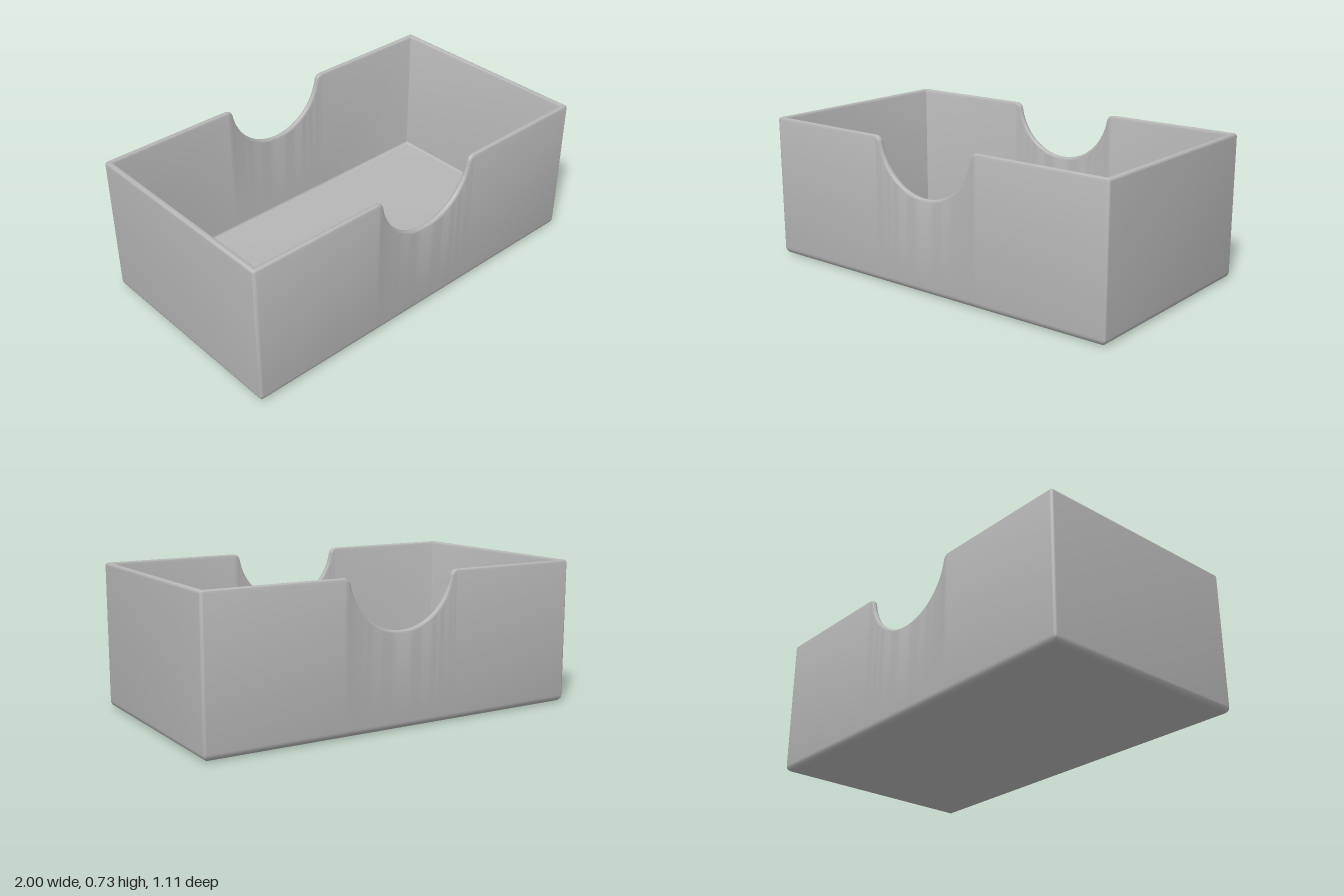
import * as THREE from 'three';
import { toCreasedNormals } from 'three/addons/utils/BufferGeometryUtils.js';

// Overall size and thicknesses
const W = 1, D = 0.555, H = 0.725;          // half width, half depth, height
const WALL = 0.03, FLOOR = 0.03;
const CORNER = 0.014, BASE = 0.035, RIM = 0.014, INNER = 0.012; // rounding radii
// Finger notch: a circular scoop with rounded shoulders
const NOTCH_Y = 0.745, NOTCH_R = 0.28, SHOULDER = 0.035;

// Rim line across the notch, from -x to +x: position and direction out of the material
function notchLine() {
  const fy = H - SHOULDER;
  const fx = Math.sqrt((NOTCH_R + SHOULDER) ** 2 - (NOTCH_Y - fy) ** 2);
  const dip = Math.atan2(NOTCH_Y - fy, fx);
  const half = [];
  for (let i = 0; i <= 8; i++) {            // shoulder
    const a = Math.PI / 2 - (Math.PI / 2 - dip) * i / 8;
    const nx = Math.cos(a), ny = Math.sin(a);
    half.push({ x: -fx + SHOULDER * nx, y: fy + SHOULDER * ny, nx, ny });
  }
  for (let i = 1; i <= 20; i++) {           // scoop
    const a = dip + (Math.PI / 2 - dip) * i / 20;
    const nx = Math.cos(a), ny = Math.sin(a);
    half.push({ x: -NOTCH_R * nx, y: NOTCH_Y - NOTCH_R * ny, nx, ny });
  }
  const mirrored = half.slice(0, -1).reverse().map(p => ({ ...p, x: -p.x, nx: -p.nx }));
  return [...half, ...mirrored];
}

// Stations around the box, counter-clockwise from above
function stations() {
  const list = [];
  const corner = (sx, sz, start) => {
    for (let i = 0; i <= 4; i++) {
      const a = start + (Math.PI / 2) * i / 4;
      list.push({ sx, sz, ox: Math.cos(a), oz: -Math.sin(a) });
    }
  };
  const notch = side => notchLine().forEach(p =>
    list.push({ notch: true, side, x: p.x * side, y: p.y, nx: p.nx * side, ny: p.ny }));
  corner(-1, 1, Math.PI);
  notch(1);
  corner(1, 1, -Math.PI / 2);
  corner(1, -1, 0);
  notch(-1);
  corner(-1, -1, Math.PI / 2);
  return list;
}

// Wall section: d = distance in from the outside; y = fixed height, or e = depth below the rim
function section() {
  const rows = [], n = 6;
  const arc = fn => {
    for (let i = 0; i <= n; i++) {
      const a = (Math.PI / 2) * i / n;
      rows.push(fn(Math.sin(a), Math.cos(a)));
    }
  };
  arc((s, c) => ({ d: BASE * (1 - s), y: BASE * (1 - c) }));
  arc((s, c) => ({ d: RIM * (1 - c), e: RIM * (1 - s) }));
  arc((s, c) => ({ d: WALL - RIM * (1 - s), e: RIM * (1 - c) }));
  arc((s, c) => ({ d: WALL + INNER * (1 - c), y: FLOOR + INNER * (1 - s) }));
  return rows;
}

function place(st, { d, y, e }) {
  if (st.notch) {
    const inset = e ?? RIM;
    return [st.x - st.nx * inset, y ?? st.y - st.ny * inset, st.side * (D - d)];
  }
  const r = Math.max(CORNER - d, 0.002);
  return [st.sx * (W - d - r) + st.ox * r, y ?? H - e, st.sz * (D - d - r) + st.oz * r];
}

function trayGeometry() {
  const ring = stations(), rows = section();
  const n = ring.length, m = rows.length;
  const pos = [], index = [];
  rows.forEach(row => ring.forEach(st => pos.push(...place(st, row))));
  pos.push(0, 0, 0, 0, FLOOR, 0);
  const under = n * m, floor = under + 1;
  for (let i = 0; i < n; i++) {
    const k = (i + 1) % n;
    for (let j = 0; j < m - 1; j++) {
      const a = j * n + i, b = j * n + k;
      index.push(a, b, b + n, a, b + n, a + n);
    }
    index.push(under, k, i);                                  // underside
    index.push(floor, (m - 1) * n + i, (m - 1) * n + k);      // inside floor
  }
  const g = new THREE.BufferGeometry();
  g.setAttribute('position', new THREE.Float32BufferAttribute(pos, 3));
  g.setIndex(index);
  return toCreasedNormals(g, 0.6);
}

export function createModel() {
  const grey = new THREE.MeshStandardMaterial({ color: 0xb5b5b5 });
  grey.name = 'grey';
  const tray = new THREE.Mesh(trayGeometry(), grey);
  tray.name = 'notchedTray';
  const group = new THREE.Group();
  group.name = 'openBox';
  group.add(tray);
  return group;
}
